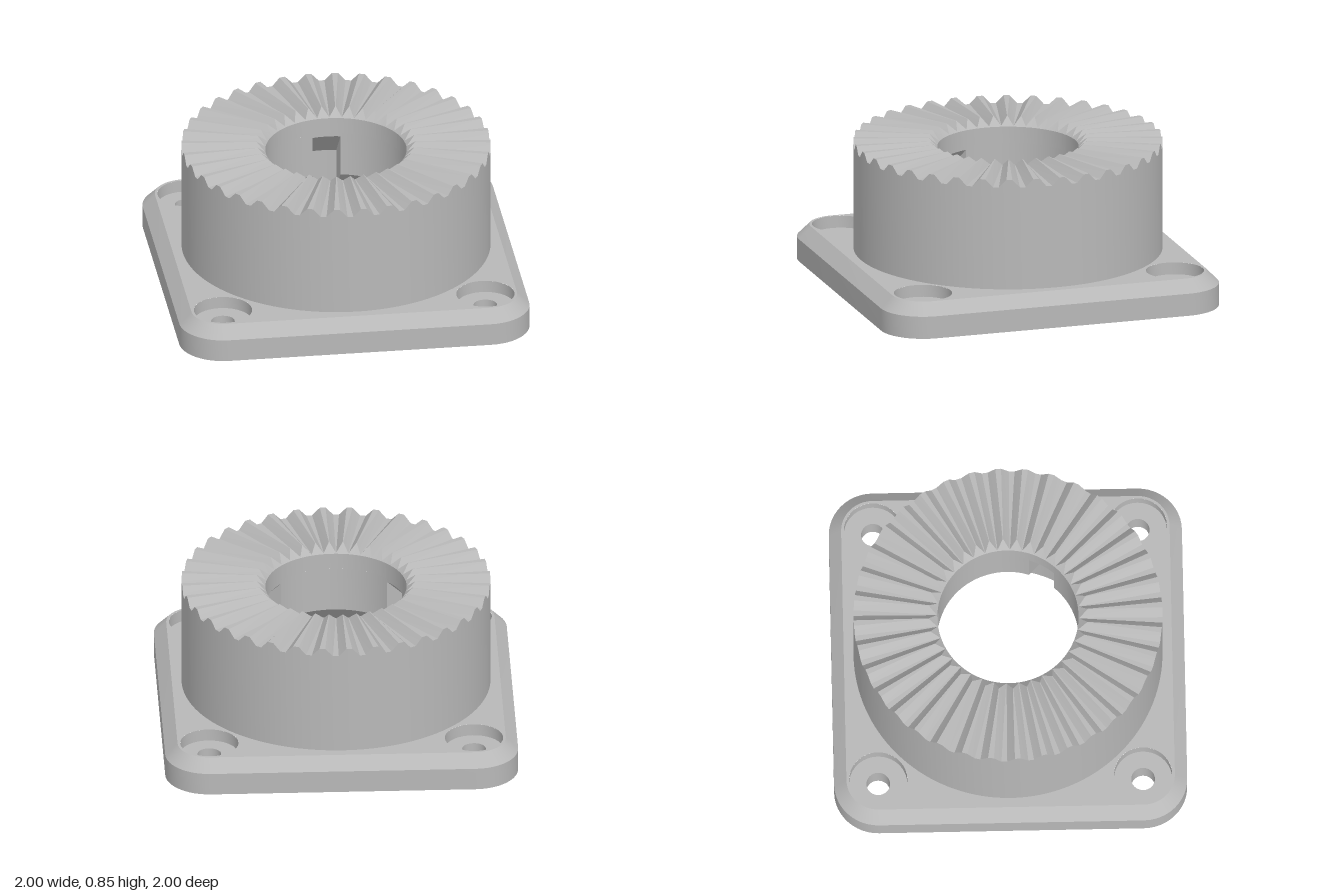
import * as THREE from 'three';
import { toCreasedNormals } from 'three/addons/utils/BufferGeometryUtils.js';

const DEG = Math.PI / 180;
const metal = new THREE.MeshStandardMaterial({ color: 0xb8b8b8 });
metal.name = 'light grey metal';

// Grid surface: fn(i, j) gives a point; the front faces (i direction) x (j direction)
function surface(ni, nj, fn) {
  const pos = [], index = [];
  for (let i = 0; i < ni; i++) for (let j = 0; j < nj; j++) pos.push(...fn(i, j));
  for (let i = 0; i < ni - 1; i++) for (let j = 0; j < nj - 1; j++) {
    const a = i * nj + j, b = a + nj;
    index.push(a, b, b + 1, a, b + 1, a + 1);
  }
  const g = new THREE.BufferGeometry();
  g.setAttribute('position', new THREE.Float32BufferAttribute(pos, 3));
  g.setIndex(index);
  return toCreasedNormals(g, 0.5);
}

const polar = (r, a, y) => [r * Math.cos(a), y, r * Math.sin(a)];

// Profile [r, y] swept between two edges whose angles depend on radius
const sweep = (profile, from, to, n) => surface(profile.length, n + 1, (i, j) => {
  const [r, y] = profile[i];
  return polar(r, from(r) + (to(r) - from(r)) * j / n, y);
});

function part(group, name, geometry) {
  const mesh = new THREE.Mesh(geometry, metal);
  mesh.name = name;
  group.add(mesh);
  return mesh;
}

// Rounded square outline, closed, as [x, z] points
function outline(inset) {
  const pts = [], steps = 12, r = 0.25 - inset;
  for (let c = 0; c < 4; c++) {
    const mid = (45 + 90 * c) * DEG;
    const cx = 0.75 * Math.sign(Math.cos(mid)), cz = 0.75 * Math.sign(Math.sin(mid));
    for (let s = 0; s <= steps; s++) {
      const a = (90 * c + 90 * s / steps) * DEG;
      pts.push([cx + r * Math.cos(a), cz + r * Math.sin(a)]);
    }
  }
  pts.push(pts[0]);
  return pts;
}

// Flat plate face with a central opening and four corner openings
function plateFace(inset, centreR, cornerR) {
  const shape = new THREE.Shape(outline(inset).slice(0, -1).map(p => new THREE.Vector2(...p)));
  const hole = (x, y, r) => shape.holes.push(new THREE.Path().absarc(x, y, r, 0, Math.PI * 2, true));
  hole(0, 0, centreR);
  for (const x of [-0.75, 0.75]) for (const y of [-0.75, 0.75]) hole(x, y, cornerR);
  return new THREE.ShapeGeometry(shape, 36);
}

function buildPlate() {
  const plate = new THREE.Group();
  plate.name = 'mountingPlate';
  // Straight edge with a chamfer above
  const rings = [[0, 0], [0, 0.13], [0.07, 0.2]].map(([inset, y]) => outline(inset).map(([x, z]) => [x, y, z]));
  part(plate, 'plateEdge', surface(3, rings[0].length, (i, j) => rings[i][j]));
  part(plate, 'plateTop', plateFace(0.07, 0.873, 0.165).rotateX(-Math.PI / 2).translate(0, 0.2, 0));
  part(plate, 'plateBottom', plateFace(0, 0.57, 0.067).rotateX(Math.PI / 2));
  // Counterbored screw holes
  const bore = sweep([[0.165, 0.2], [0.165, 0.13], [0.067, 0.13], [0.067, 0]], () => 0, () => Math.PI * 2, 36);
  for (const x of [-0.75, 0.75]) for (const z of [-0.75, 0.75]) part(plate, 'screwHole', bore).position.set(x, 0, z);
  return plate;
}

const TEETH = 36, TOP = 0.845, ROOT = 0.8;

// Outer wall, radial face teeth and the chamfer into the bore
function buildToothedRing() {
  return surface(5, TEETH * 4 + 1, (i, j) => {
    const k = Math.floor(j / 4), c = j % 4;
    const high = c === 0 || c === 3;
    const flank = i < 2 ? 2.85 : 4.6;
    const a = (k * 10 + (c > 1 ? 5 : 0) + (c % 2 ? flank / 2 : -flank / 2)) * DEG;
    const y = high ? TOP : ROOT;
    const profile = [[0.875, 0.2], [0.875, y], [high ? 0.45 : 0.405, y], [0.4, 0.795], [0.4, 0.7]];
    return polar(profile[i][0], a, profile[i][1]);
  });
}

// Bore widening downwards, with three keyways running up into it
function buildBore() {
  const bore = new THREE.Group();
  bore.name = 'bore';
  const half = r => Math.asin(0.08 / r);
  const wall = [[0.4, 0.7], [0.4, 0.44], [0.57, 0.27], [0.57, 0]];
  const slot = [[0.4, 0.7], [0.4, 0.68], [0.57, 0.51], [0.57, 0]];
  for (const deg of [30, 150, 270]) {
    const mid = deg * DEG;
    part(bore, 'boreWall', sweep(wall, r => mid + half(r), r => mid + 120 * DEG - half(r), 32));
    part(bore, 'keyway', sweep(slot, r => mid - half(r), r => mid + half(r), 6));
    // Keyway flanks
    const ys = [[0.68, 0.51], [0.44, 0.27]], rs = [0.4, 0.57];
    part(bore, 'keywaySide', surface(2, 2, (i, j) => polar(rs[j], mid - half(rs[j]), ys[i][j])));
    part(bore, 'keywaySide', surface(2, 2, (i, j) => polar(rs[i], mid + half(rs[i]), ys[j][i])));
  }
  return bore;
}

export function createModel() {
  const model = new THREE.Group();
  model.name = 'toothedFlange';
  model.add(buildPlate());
  part(model, 'toothedRing', buildToothedRing());
  model.add(buildBore());
  return model;
}
